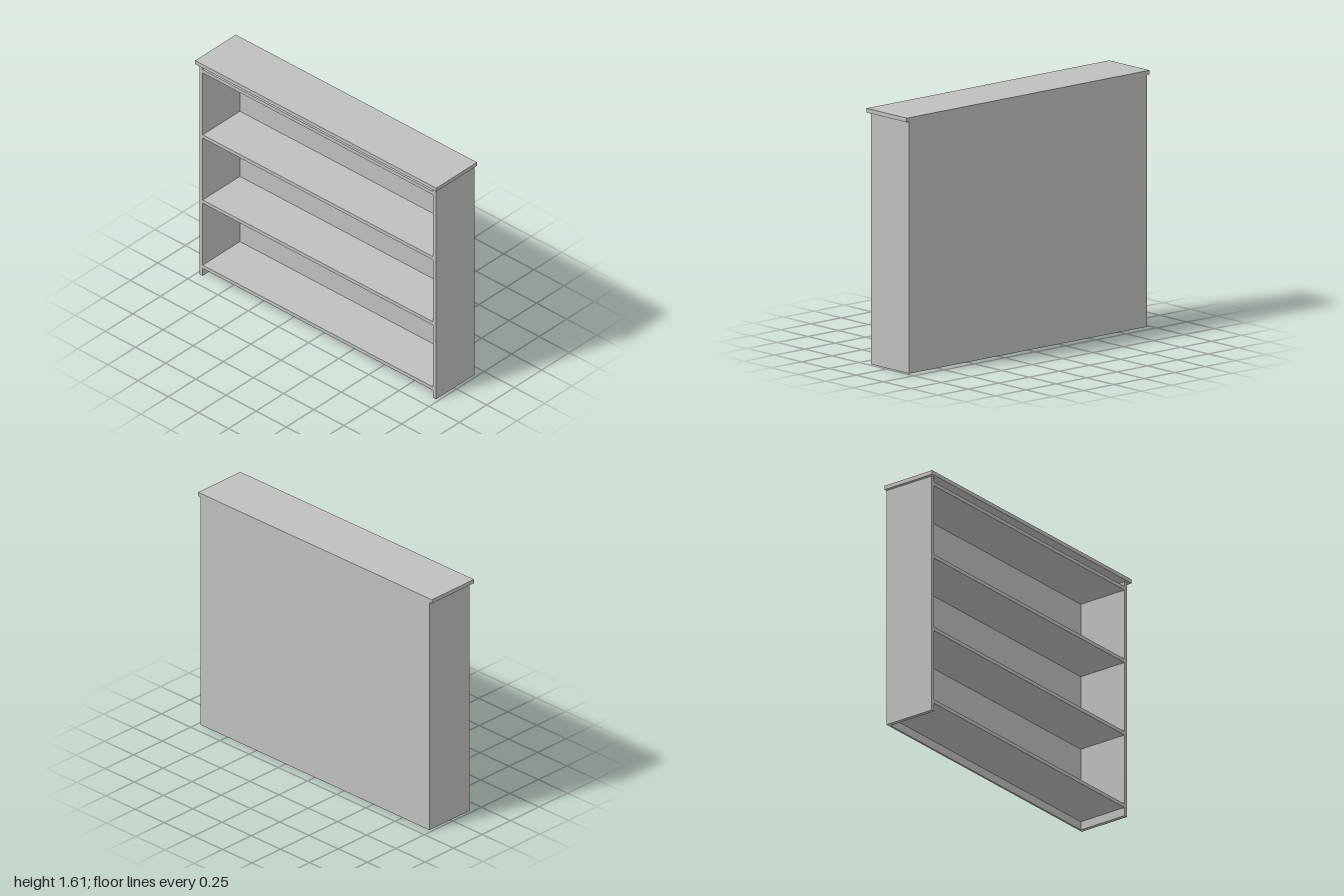
import * as THREE from 'three';

export function createModel() {
  const group = new THREE.Group();
  const grey = new THREE.MeshStandardMaterial({ color: 0xbfbfbf });
  grey.name = 'light grey';

  const back = -0.185, front = 0.165; // cabinet depth
  const board = 0.025;                // board thickness
  const outer = 0.98;                 // half width of the cabinet
  const inner = outer - board;
  const underTop = 1.581;
  const panel = 0.012;                // back panel thickness

  // Box given by its minimum and maximum corners
  function addBox(name, [x0, y0, z0], [x1, y1, z1]) {
    const mesh = new THREE.Mesh(new THREE.BoxGeometry(x1 - x0, y1 - y0, z1 - z0), grey);
    mesh.position.set((x0 + x1) / 2, (y0 + y1) / 2, (z0 + z1) / 2);
    mesh.name = name;
    group.add(mesh);
  }

  // Overhanging top, flush at the back
  addBox('top', [-1, underTop, back], [1, underTop + 0.026, 0.185]);

  // Side walls standing on the ground
  addBox('leftSide', [inner, 0, back], [outer, underTop, front]);
  addBox('rightSide', [-outer, 0, back], [-inner, underTop, front]);

  // Back panel between the sides
  addBox('backPanel', [-inner, 0, back], [inner, underTop, back + panel]);

  // Four evenly spaced shelves
  for (let i = 0; i < 4; i++) {
    const y = 0.055 + i * 0.49;
    addBox('shelf' + (i + 1), [-inner, y, back + panel], [inner, y + board, front]);
  }

  return group;
}
